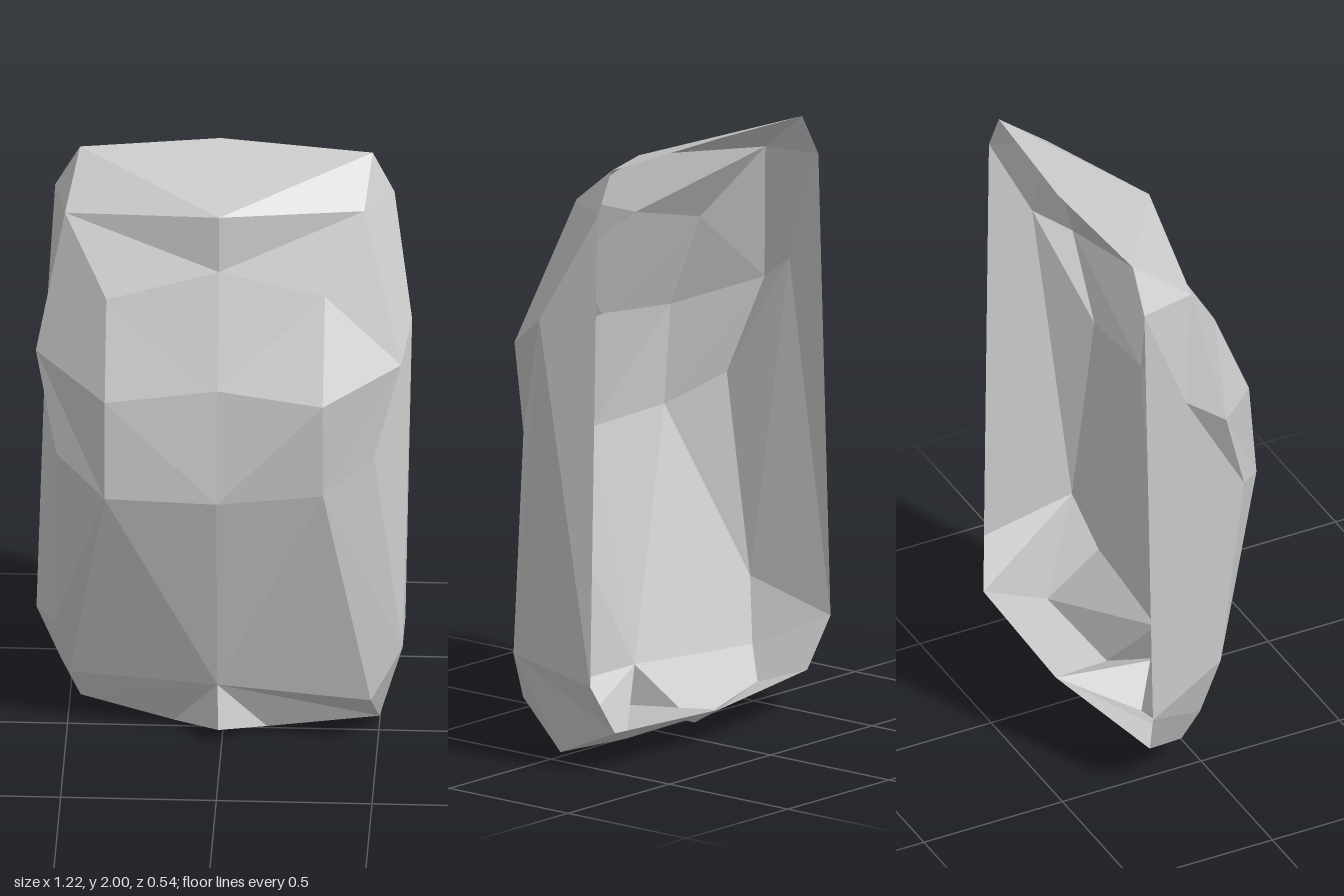
import * as THREE from 'three';

export function createModel() {
  const group = new THREE.Group();
  const grey = new THREE.MeshStandardMaterial({ color: 0xcacaca, side: THREE.DoubleSide, flatShading: true });
  grey.name = 'plain grey';

  // Cross-sections of the open-backed shell, each from -x to +x
  const top = [[-0.47, 1.98, -0.23], [-0.02, 2, -0.27], [0.47, 1.98, -0.23]];
  const rim = [[-0.51, 1.84, -0.04], [-0.01, 1.89, 0.065], [0.45, 1.855, -0.065]];
  const sideR = [-0.6, 1.38, 0.04], sideL = [0.575, 1.38, 0.09];
  const shoulderR = [-0.57, 1.47, -0.09], shoulderL = [0.605, 1.48, -0.04];
  const chest = [sideR, [-0.37, 1.61, 0.115], [-0.01, 1.7, 0.08], [0.33, 1.61, 0.065], sideL];
  const bulge = [sideR, [-0.37, 1.3, 0.24], [-0.01, 1.34, 0.22], [0.33, 1.3, 0.24], sideL];
  const belly = [[-0.53, 1.06, 0.14], [-0.37, 0.965, 0.267], [-0.01, 0.955, 0.272], [0.33, 0.96, 0.21], [0.49, 1.06, 0.125]];
  const hem = [[-0.54, 0.4, 0.05], [-0.493, 0.19, 0], [-0.015, 0.2, 0.088], [0.48, 0.18, 0.135], [0.58, 0.35, 0.09]];
  const base = [[-0.46, 0.08, -0.05], [-0.16, 0, -0.04], [-0.01, 0.06, 0.135], [0.14, 0, -0.01], [0.5, 0.03, -0.04]];
  // Back edges, top to bottom
  const backR = [[-0.55, 1.84, -0.23], [-0.61, 0.3, -0.23], [-0.53, 0.13, -0.2]];
  const backL = [[0.54, 1.84, -0.23], [0.575, 0.29, -0.23], [0.5, 0.13, -0.27]];
  const backMid = [-0.01, 0.11, -0.272];

  // Each polygon is a fan around its first corner
  function panel(name, polygons) {
    const points = [];
    for (const p of polygons) {
      for (let i = 1; i < p.length - 1; i++) points.push(...p[0], ...p[i], ...p[i + 1]);
    }
    const geometry = new THREE.BufferGeometry();
    geometry.setAttribute('position', new THREE.Float32BufferAttribute(points, 3));
    geometry.computeVertexNormals();
    const mesh = new THREE.Mesh(geometry, grey);
    mesh.name = name;
    group.add(mesh);
  }

  // Quads between two sections, with mirrored diagonals
  function band(upper, lower) {
    return [0, 1, 2, 3].map((i) => i < 2
      ? [upper[i], lower[i], lower[i + 1], upper[i + 1]]
      : [lower[i], lower[i + 1], upper[i + 1], upper[i]]);
  }

  panel('topPanel', [
    [rim[1], top[1], top[0], rim[0]],
    [rim[1], rim[2], top[2], top[1]],
  ]);

  panel('upperFront', [
    [rim[0], chest[0], chest[1], chest[2], rim[1]],
    [rim[2], rim[1], chest[2], chest[3], chest[4]],
    ...band(chest, bulge),
  ]);

  panel('middleFront', band(bulge, belly));

  panel('lowerFront', [
    [belly[1], belly[0], hem[0], hem[1], hem[2]],
    [belly[2], belly[1], hem[2]],
    [belly[2], hem[2], belly[3]],
    [belly[3], hem[2], hem[3], hem[4], belly[4]],
  ]);

  // Sides, each with a fold running down from the shoulder
  panel('rightSide', [
    [rim[0], top[0], backR[0], shoulderR],
    [rim[0], shoulderR, sideR],
    [shoulderR, belly[0], sideR],
    [shoulderR, hem[0], belly[0]],
    [shoulderR, backR[0], backR[1], hem[0]],
    [hem[0], backR[1], hem[1]],
    [backR[1], backR[2], base[0], hem[1]],
  ]);

  panel('leftSide', [
    [rim[2], shoulderL, backL[0], top[2]],
    [rim[2], sideL, shoulderL],
    [shoulderL, sideL, belly[4]],
    [shoulderL, belly[4], hem[4]],
    [shoulderL, hem[4], backL[1], backL[0]],
    [hem[4], base[4], backL[2], backL[1]],
    [hem[4], hem[3], base[4]],
  ]);

  // Lower front edge with a small central peak
  panel('bottomFront', [
    [hem[2], hem[1], base[0], base[1]],
    [hem[2], base[1], base[2]],
    [hem[2], base[2], base[3]],
    [hem[2], base[3], base[4], hem[3]],
  ]);

  panel('bottomPanel', [
    [backMid, base[1], base[0], backR[2]],
    [backMid, base[2], base[1]],
    [backMid, base[3], base[2]],
    [backMid, backL[2], base[4], base[3]],
  ]);

  return group;
}
